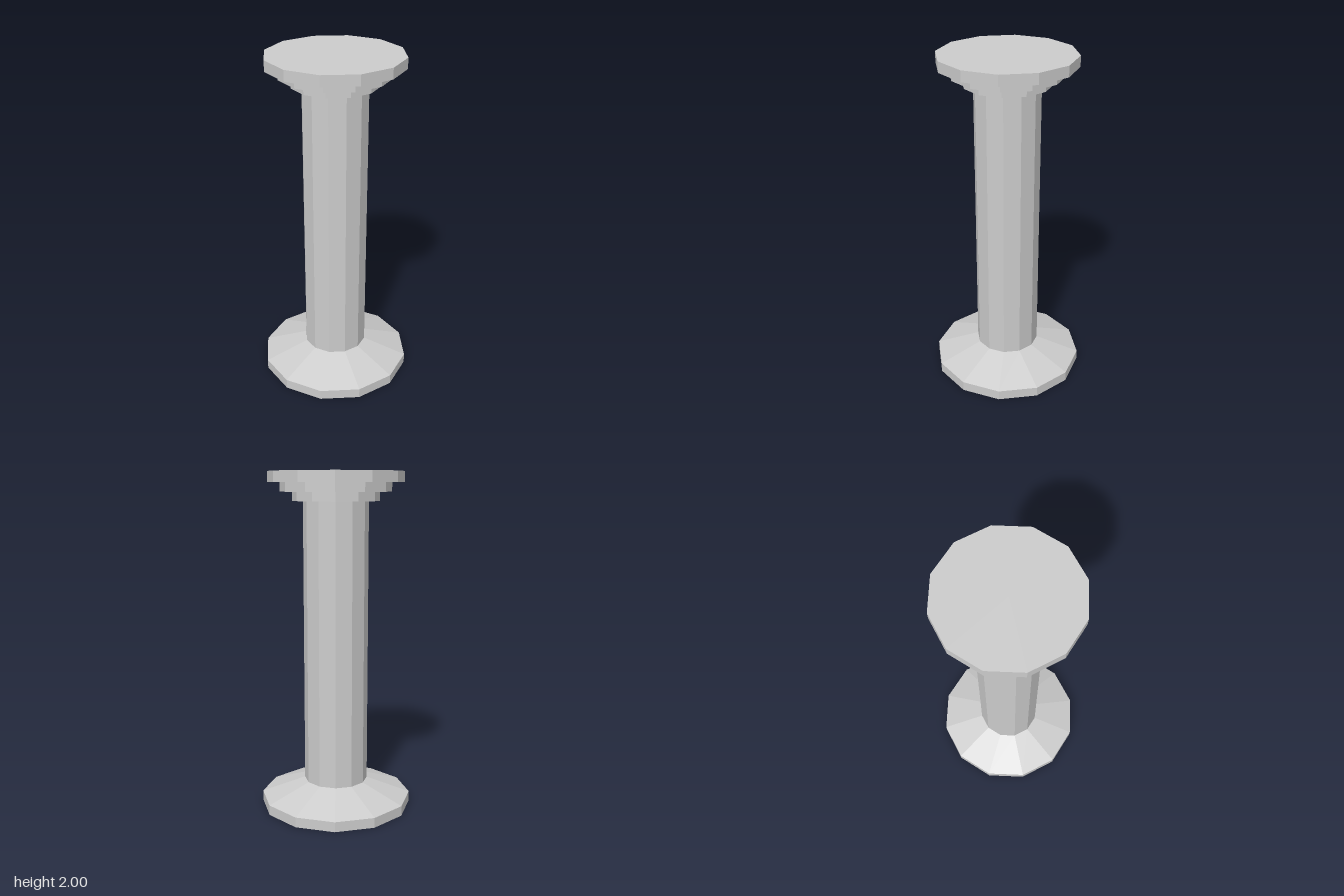
import * as THREE from 'three';

const SIDES = 12;

export function createModel() {
  const group = new THREE.Group();
  const material = new THREE.MeshStandardMaterial({ color: 0xcccccc, flatShading: true });

  // One faceted drum between two heights
  const drum = (name, bottomRadius, topRadius, y0, y1) => {
    const geometry = new THREE.CylinderGeometry(topRadius, bottomRadius, y1 - y0, SIDES);
    const mesh = new THREE.Mesh(geometry, material);
    mesh.name = name;
    mesh.position.y = (y0 + y1) / 2;
    group.add(mesh);
  };

  // Base: flat plinth with a sloping collar up to the shaft
  drum('basePlinth', 0.452, 0.452, 0, 0.06);
  drum('baseCollar', 0.452, 0.19, 0.06, 0.155);

  // Shaft
  drum('shaft', 0.19, 0.19, 0.155, 1.833);

  // Capital: three steps widening upwards
  drum('capitalLowerStep', 0.253, 0.253, 1.833, 1.885);
  drum('capitalMiddleStep', 0.322, 0.322, 1.885, 1.938);
  drum('capitalTop', 0.394, 0.394, 1.938, 2);

  return group;
}
